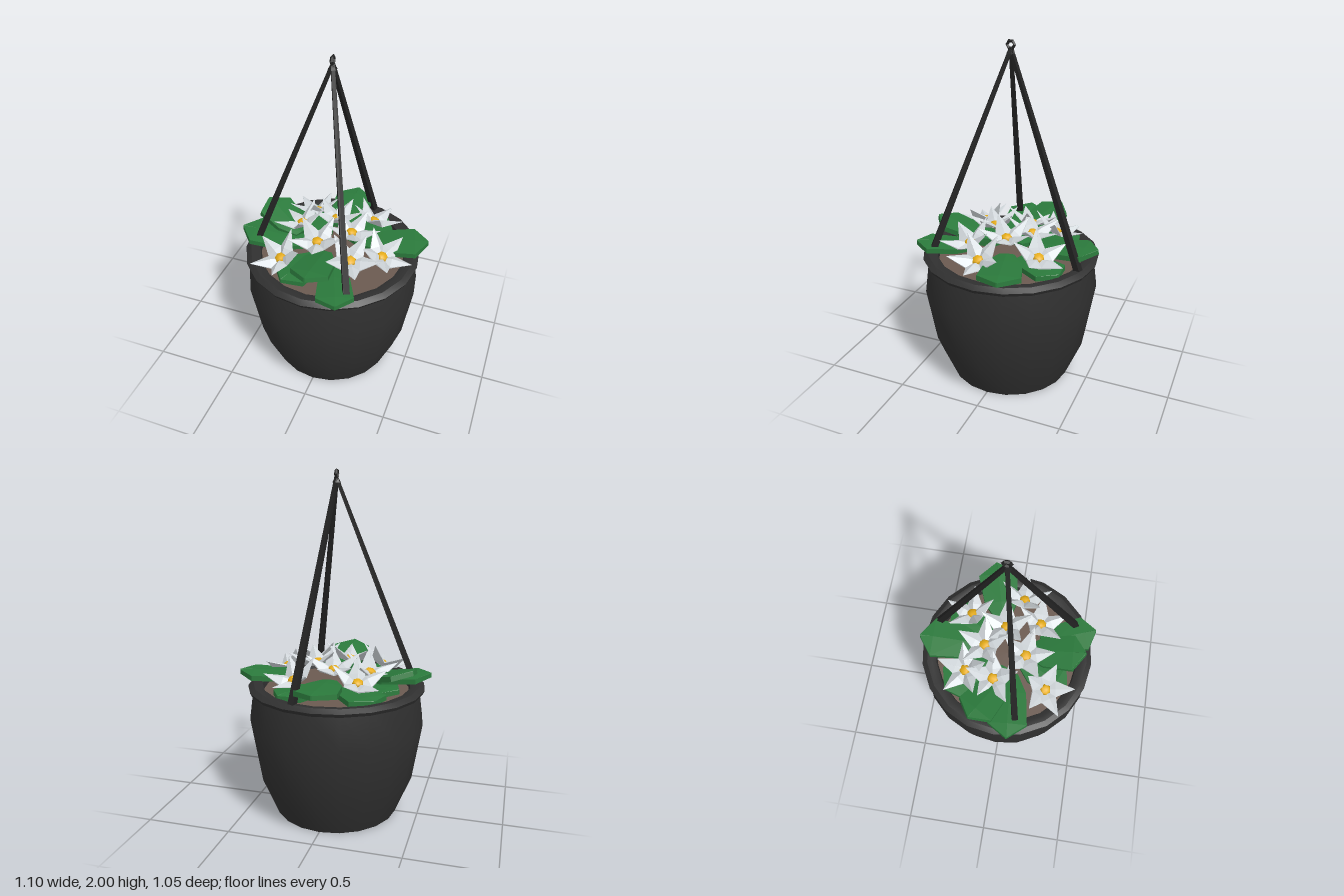
import * as THREE from 'three';
import { toCreasedNormals } from 'three/addons/utils/BufferGeometryUtils.js';

const paint = (name, color, flat = true) => {
  const m = new THREE.MeshStandardMaterial({ color, flatShading: flat });
  m.name = name;
  return m;
};

// Lofts a ridged blade along +z from sections [z, halfWidth, edgeY, ridge, thickness]
function blade(sections) {
  const pos = [], idx = [], n = 5;
  for (const [z, w, y, r, t] of sections)
    pos.push(-w, y, z, 0, y + r, z, w, y, z, w, y - t, z, -w, y - t, z);
  const last = (sections.length - 1) * n;
  for (let i = 0; i < last; i += n)
    for (let j = 0; j < n; j++) {
      const a = i + j, b = i + (j + 1) % n, c = b + n, d = a + n;
      idx.push(a, d, c, a, c, b);
    }
  for (let k = 1; k < n - 1; k++) idx.push(0, k, k + 1, last, last + k + 1, last + k);
  const g = new THREE.BufferGeometry();
  g.setAttribute('position', new THREE.Float32BufferAttribute(pos, 3));
  g.setIndex(idx);
  const flat = g.toNonIndexed();
  flat.computeVertexNormals();
  return flat;
}

export function createModel() {
  const root = new THREE.Group();
  root.name = 'hangingFlowerBasket';
  const potMat = paint('charcoal plastic', 0x303030, false);
  const strapMat = paint('black strap', 0x232323);
  const leafMat = paint('leaf green', 0x2b7a3c);
  const petalMat = paint('petal white', 0xd3d9dd);
  const centreMat = paint('pollen yellow', 0xe8ae18, false);
  const soilMat = paint('soil brown', 0x6b5a50);

  const add = (parent, name, geo, mat) => {
    const m = new THREE.Mesh(geo, mat);
    m.name = name;
    parent.add(m);
    return m;
  };

  // Pot: recessed base, swelling wall, overhanging rim and inner wall
  const profile = [
    [0, 0.03], [0.31, 0.03], [0.33, 0], [0.365, 0], [0.46, 0.23], [0.515, 0.56], [0.49, 0.75],
    [0.51, 0.75], [0.52, 0.77], [0.49, 0.79], [0.46, 0.79], [0.435, 0.78], [0.42, 0.7],
  ].map(([x, y]) => new THREE.Vector2(x, y));
  add(root, 'pot', toCreasedNormals(new THREE.LatheGeometry(profile, 20), 0.5), potMat);

  const soil = add(root, 'soil', new THREE.CylinderGeometry(0.43, 0.42, 0.03, 20), soilMat);
  soil.position.y = 0.73;

  // Leaves: [base x, base z, tip x, tip z, base y, tip y, half width]
  const leaves = [
    [0, -0.15, -0.01, -0.53, 0.84, 0.87, 0.12],
    [0.18, -0.05, 0.545, -0.15, 0.84, 0.86, 0.12],
    [-0.2, 0, -0.475, -0.15, 0.84, 0.93, 0.115],
    [-0.15, 0.05, -0.545, 0.08, 0.82, 0.86, 0.115],
    [0, 0.12, 0.01, 0.47, 0.84, 0.93, 0.11],
    [0.08, 0.2, 0.2, 0.52, 0.81, 0.83, 0.105],
    [-0.08, -0.1, -0.3, -0.33, 0.79, 0.8, 0.12],
    [0.08, -0.1, 0.23, -0.38, 0.79, 0.8, 0.11],
    [-0.05, 0.1, -0.17, 0.39, 0.79, 0.8, 0.11],
    [-0.1, 0, -0.39, -0.1, 0.78, 0.8, 0.1],
  ];
  const foliage = new THREE.Group();
  foliage.name = 'leaves';
  root.add(foliage);
  for (const [bx, bz, tx, tz, by, ty, w] of leaves) {
    const run = Math.hypot(tx - bx, tz - bz), len = Math.hypot(run, ty - by);
    const geo = blade([
      [0, w * 0.35, 0, 0.004, 0.025], [len * 0.3, w * 0.85, 0, 0.008, 0.03],
      [len * 0.79, w, 0, 0.008, 0.03], [len, 0.004, 0, 0.003, 0.025],
    ]);
    const leaf = add(foliage, 'leaf', geo, leafMat);
    leaf.position.set(bx, by, bz);
    leaf.rotation.set(-Math.atan2(ty - by, run), Math.atan2(tx - bx, tz - bz), 0, 'YXZ');
  }

  // Star flowers: [x, z, heading of one petal in degrees]
  const petalGeo = blade([
    [0.005, 0.012, 0, 0.004, 0.012], [0.065, 0.048, -0.012, 0.024, 0.008],
    [0.18, 0.001, 0.004, 0.001, 0.001],
  ]);
  const centreGeo = new THREE.SphereGeometry(0.036, 6, 4);
  const flowers = [
    [-0.18, -0.22, 163], [0.18, -0.24, 160], [-0.02, -0.13, 90],
    [-0.21, -0.05, 22], [0.11, -0.02, 95], [0.32, 0.06, 90],
    [-0.05, 0.12, 13], [0.17, 0.18, 25], [-0.22, 0.26, 14],
  ];
  for (const [x, z, heading] of flowers) {
    const r = Math.hypot(x, z), out = Math.atan2(x, z);
    const flower = new THREE.Group();
    flower.name = 'flower';
    flower.position.set(x, 0.925 - 0.27 * r, z);
    flower.rotation.set(r * 1.45, out, 0, 'YXZ');
    root.add(flower);
    for (let k = 0; k < 5; k++) {
      const petal = add(flower, 'petal', petalGeo, petalMat);
      const turn = THREE.MathUtils.degToRad(heading + 72 * k) - out;
      petal.rotation.set(-0.45, turn, 0, 'YXZ');
    }
    const centre = add(flower, 'flowerCentre', centreGeo, centreMat);
    centre.position.y = 0.012;
    centre.scale.y = 0.6;
  }

  // Three tapering straps meeting under the hanging loop
  const top = new THREE.Vector3(0, 1.95, 0);
  for (const [x, z] of [[-0.45, 0.12], [0.23, 0.41], [0.12, -0.46]]) {
    const foot = new THREE.Vector3(x, 0.77, z);
    const dir = top.clone().sub(foot);
    const geo = new THREE.CylinderGeometry(0.014, 0.026, dir.length(), 4).rotateY(Math.PI / 4);
    const strap = add(root, 'strap', geo, strapMat);
    strap.position.copy(foot).add(top).multiplyScalar(0.5);
    // Turn each strap to face outward, then lean it toward the loop
    const az = Math.atan2(x, z);
    strap.rotation.set(-Math.atan2(Math.hypot(x, z), dir.y), az, 0, 'YXZ');
    strap.rotation.x *= -1;
    strap.rotation.y += Math.PI;
  }
  const knot = add(root, 'strapKnot', new THREE.CylinderGeometry(0.009, 0.025, 0.03, 6), strapMat);
  knot.position.y = 1.94;
  const loop = add(root, 'hangingLoop', new THREE.TorusGeometry(0.021, 0.009, 4, 6), strapMat);
  loop.rotation.y = Math.PI / 2;
  loop.position.y = 1.972;

  return root;
}
